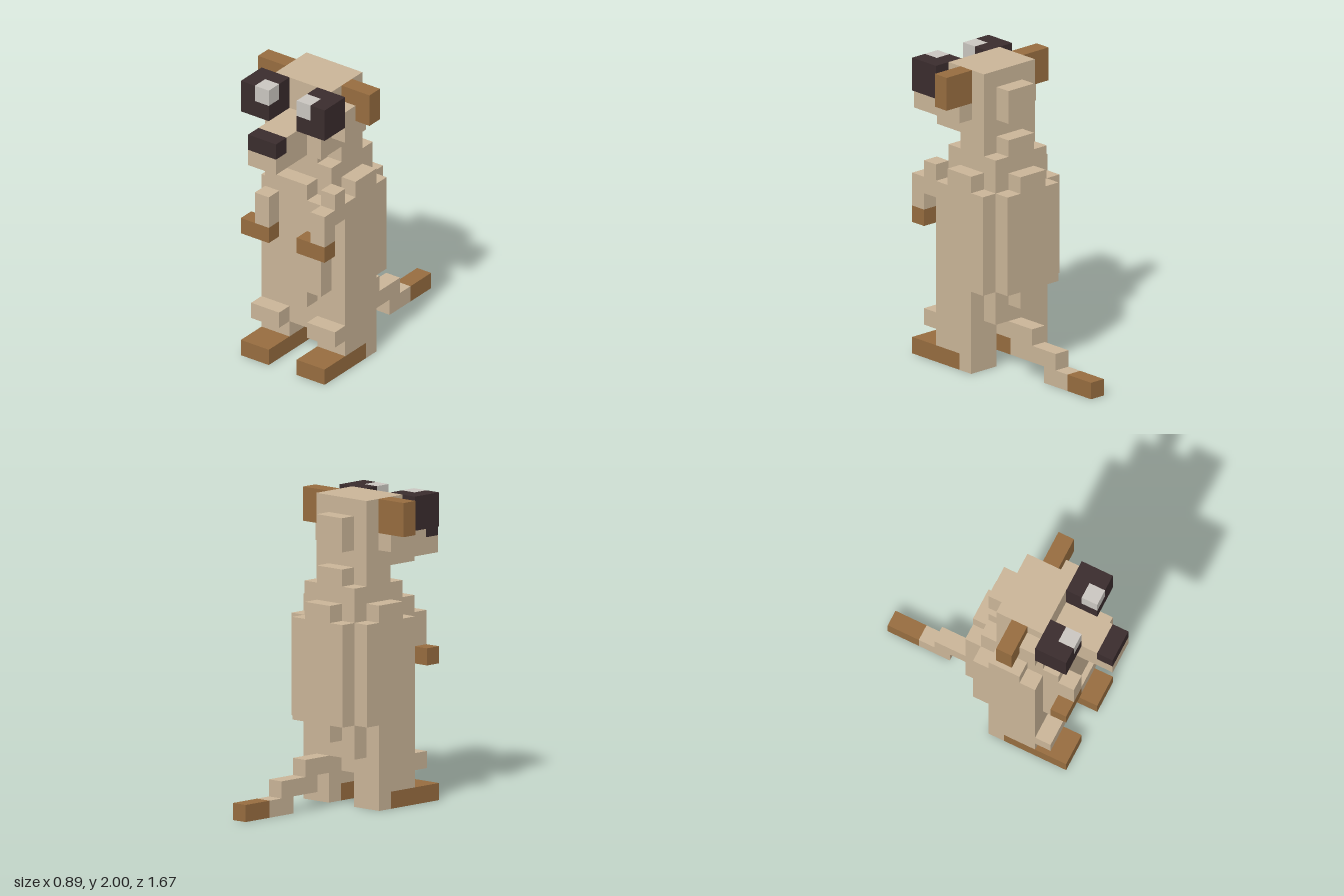
import * as THREE from 'three';

const U = 1 / 9; // one block

function material(name, color) {
  const m = new THREE.MeshStandardMaterial({ color });
  m.name = name;
  return m;
}

export function createModel() {
  const model = new THREE.Group();
  model.name = 'blockAnimal';
  const fur = material('sand fur', 0xc9b497);
  const brown = material('brown paws', 0x966c3f);
  const dark = material('dark eyes', 0x3a2c2d);
  const glint = material('pale glint', 0xc9c5bf);

  // Box given by its ranges in block units
  function block(name, mat, x0, x1, y0, y1, z0, z1) {
    const mesh = new THREE.Mesh(
      new THREE.BoxGeometry((x1 - x0) * U, (y1 - y0) * U, (z1 - z0) * U), mat);
    mesh.position.set((x0 + x1) / 2 * U, (y0 + y1) / 2 * U, (z0 + z1) / 2 * U);
    mesh.name = name;
    model.add(mesh);
  }
  // Same box on both sides of x = 0
  function pair(name, mat, x0, x1, ...rest) {
    block(name + 'Left', mat, x0, x1, ...rest);
    block(name + 'Right', mat, -x1, -x0, ...rest);
  }

  // Torso
  block('torso', fur, -3, 3, 2, 11, 0.5, 3.5);
  block('torsoBack', fur, -3, 3, 5, 11, -0.5, 0.5);
  block('rump', fur, -2, 2, 3, 5, -0.5, 0.5);
  block('shoulders', fur, -3, 3, 11, 12, 0.5, 2.5);
  block('backPlate', fur, -2, 2, 5, 11, -1.5, -0.5);
  block('backPlateCentre', fur, -1, 1, 4, 12, -1.5, -0.5);
  block('belly', fur, -2, 2, 5, 11, 3.5, 4.5);
  block('bellyBottom', fur, -1, 1, 4, 5, 3.5, 4.5);
  block('chestTop', fur, -2, 1, 11, 12, 3.5, 4.5);

  // Neck
  block('neckBase', fur, -2, 2, 11, 13, -0.5, 3.5);
  block('neckRidge', fur, -1, 1, 13, 14, -0.5, 3.5);
  block('neck', fur, -2, 2, 13, 14, 0.5, 2.5);

  // Head
  block('head', fur, -2, 2, 14, 18, 0.5, 3.5);
  block('headBack', fur, -1, 1, 15, 17, -0.5, 0.5);
  block('muzzleBase', fur, -2, 2, 14, 16, 3.5, 4.5);
  block('muzzle', fur, -1, 1, 14, 16, 4.5, 6.5);
  block('muzzleTip', fur, -1, 1, 14, 15, 6.5, 7.5);
  block('nose', dark, -1, 1, 15, 16, 6.5, 7.5);
  pair('cheek', fur, 2, 3, 15, 16, 1.5, 3.5);
  pair('cheekTop', fur, 2, 3, 16, 17, 2.5, 3.5);
  pair('ear', brown, 2, 4, 16, 18, 1.5, 2.5);

  // Eyes, with a pale block in the upper inner front corner
  pair('eyeLower', dark, 1, 3, 16, 17, 3.5, 5.5);
  pair('eyeUpperBack', dark, 1, 3, 17, 18, 3.5, 4.5);
  pair('eyeUpperOuter', dark, 2, 3, 17, 18, 4.5, 5.5);
  pair('eyeGlint', glint, 1, 2, 17, 18, 4.5, 5.5);

  // Arms, both set one block off the same way
  block('shoulderLeft', fur, 2, 3, 10, 12, 3.5, 4.5);
  block('armLeft', fur, 2, 3, 9, 11, 4.5, 5.5);
  block('armRight', fur, -2, -1, 9, 11, 4.5, 5.5);
  pair('hand', brown, 1, 3, 8, 9, 4.5, 5.5);

  // Legs
  pair('knee', fur, 1, 3, 2, 3, 3.5, 4.5);
  pair('leg', fur, 1, 3, 1, 2, 0.5, 3.5);
  pair('heel', fur, 1, 3, 0, 1, 0.5, 1.5);
  pair('foot', brown, 1, 3, 0, 1, 1.5, 5.5);

  // Tail, stepping down to the ground
  block('tailRoot', fur, 0, 1, 2, 3, -2.5, 0.5);
  block('tailMiddle', fur, 0, 1, 1, 2, -4.5, -1.5);
  block('tailEnd', fur, 0, 1, 0, 1, -5.5, -3.5);
  block('tailTip', brown, 0, 1, 0, 1, -7.5, -5.5);

  return model;
}
